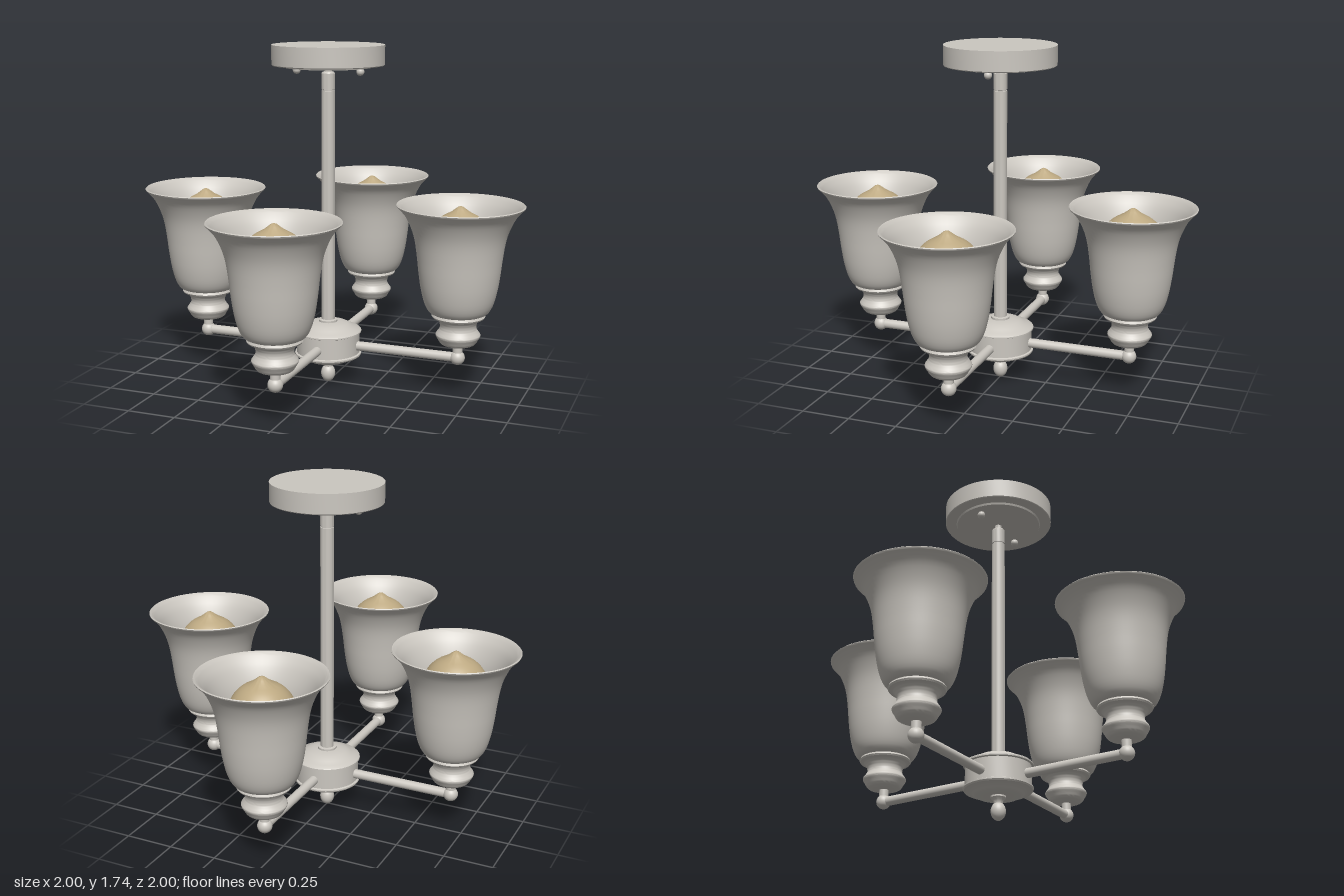
import * as THREE from 'three';
import { toCreasedNormals } from 'three/addons/utils/BufferGeometryUtils.js';

const metal = new THREE.MeshStandardMaterial({ color: 0xcbc7c0 });
metal.name = 'brushed nickel';
const amber = new THREE.MeshStandardMaterial({ color: 0xbda982 });
amber.name = 'warm bulb';

const ARM = 0.687; // distance from the centre to each lamp
const ARM_Y = 0.208;

const vectors = (pts) => pts.map(([r, y]) => new THREE.Vector2(r, y));
const smooth = (pts, n) => new THREE.SplineCurve(vectors(pts)).getPoints(n);

// Turned part: profile of [radius, height] running from bottom to top
function turned(name, points, material = metal, segments = 48) {
  const geo = toCreasedNormals(new THREE.LatheGeometry(points, segments), 0.6);
  const mesh = new THREE.Mesh(geo, material);
  mesh.name = name;
  return mesh;
}

function ball(name, r, x, y, z = 0) {
  const mesh = new THREE.Mesh(new THREE.SphereGeometry(r, 28, 18), metal);
  mesh.name = name;
  mesh.position.set(x, y, z);
  return mesh;
}

function rod(name, r, y0, y1) {
  const mesh = new THREE.Mesh(new THREE.CylinderGeometry(r, r, y1 - y0, 32), metal);
  mesh.name = name;
  mesh.position.y = (y0 + y1) / 2;
  return mesh;
}

// Thin-walled bell shade, outside up and inside back down
function makeShade() {
  const outer = smooth([
    [0.115, 0.435], [0.146, 0.447], [0.17, 0.49], [0.188, 0.56], [0.2, 0.64],
    [0.209, 0.72], [0.221, 0.8], [0.238, 0.86], [0.266, 0.92], [0.295, 0.957], [0.311, 0.972],
  ], 32);
  const wall = 0.01;
  const inner = outer.slice().reverse().map((p) => new THREE.Vector2(p.x - wall, p.y + 0.006));
  const rim = vectors([[0.313, 0.978], [0.309, 0.982]]);
  return turned('shade', [...outer, ...rim, ...inner, new THREE.Vector2(0, 0.441)], metal, 64);
}

// Globe bulb with a small pointed tip and a narrow neck
function makeBulb() {
  const points = vectors([[0, 0.443], [0.065, 0.443], [0.065, 0.56], [0.085, 0.62]]);
  for (let a = -0.8; a < 1.2; a += 0.12) {
    points.push(new THREE.Vector2(0.163 * Math.cos(a), 0.785 + 0.163 * Math.sin(a)));
  }
  points.push(...vectors([[0.045, 0.946], [0.028, 0.959], [0.014, 0.97], [0, 0.975]]));
  return turned('bulb', points, amber);
}

// One arm with its elbow, cup, shade and bulb, pointing along +x
function makeLamp() {
  const lamp = new THREE.Group();
  lamp.name = 'lampArm';

  const arm = rod('arm', 0.024, 0, ARM - 0.14);
  arm.rotation.z = Math.PI / 2;
  arm.position.set((ARM + 0.14) / 2, ARM_Y, 0);
  lamp.add(arm, ball('elbow', 0.037, ARM, ARM_Y));

  const head = new THREE.Group();
  head.name = 'lampHead';
  head.position.x = ARM;
  const cup = smooth([
    [0.055, 0.272], [0.085, 0.283], [0.1, 0.305], [0.111, 0.327],
    [0.1, 0.345], [0.09, 0.365], [0.094, 0.392], [0.11, 0.413],
  ], 26);
  head.add(
    rod('stem', 0.024, ARM_Y, 0.28),
    turned('cup', [
      new THREE.Vector2(0, 0.27), ...cup,
      ...vectors([[0.128, 0.418], [0.133, 0.426], [0.128, 0.436], [0.11, 0.44], [0, 0.44]]),
    ]),
    makeShade(),
    makeBulb(),
  );
  lamp.add(head);
  return lamp;
}

export function createModel() {
  const model = new THREE.Group();
  model.name = 'chandelier';

  // Ceiling canopy with its recessed base plate and two screws
  model.add(turned('canopy', vectors([
    [0, 1.624], [0.218, 1.624], [0.222, 1.634], [0.277, 1.634],
    [0.28, 1.638], [0.28, 1.735], [0, 1.735],
  ]), metal, 64));
  for (const side of [-1, 1]) {
    const shank = rod('screwShank', 0.009, 1.605, 1.63);
    shank.position.x = side * 0.168;
    model.add(shank, ball('screwKnob', 0.02, side * 0.168, 1.606));
  }

  // Down rod with a grooved top collar
  model.add(turned('downRod', vectors([
    [0.034, 0.3], [0.034, 1.508], [0.031, 1.509], [0.031, 1.514], [0.034, 1.515],
    [0.034, 1.594], [0.028, 1.602], [0.018, 1.604], [0.018, 1.625],
  ]), metal, 32));

  // Central hub: stepped base, drum with two rims, domed cap
  model.add(turned('hub', vectors([
    [0, 0.12], [0.105, 0.12], [0.122, 0.129], [0.138, 0.143], [0.166, 0.147],
    [0.171, 0.154], [0.171, 0.161], [0.162, 0.165], [0.162, 0.268], [0.171, 0.272],
    [0.171, 0.279], [0.166, 0.284], [0.145, 0.29], [0.125, 0.303], [0.1, 0.316],
    [0.07, 0.323], [0.048, 0.325], [0.048, 0.335], [0.034, 0.338],
  ])));

  // Finial under the hub
  model.add(turned('finialNeck', vectors([
    [0.022, 0.06], [0.022, 0.088], [0.027, 0.1], [0.038, 0.112], [0.038, 0.122],
  ]), metal, 28));
  const finial = ball('finialBall', 0.037, 0, 0.046);
  finial.scale.y = 0.046 / 0.037;
  model.add(finial);

  // Four lamps around the hub
  for (let i = 0; i < 4; i++) {
    const lamp = makeLamp();
    lamp.rotation.y = (i * Math.PI) / 2;
    model.add(lamp);
  }
  return model;
}
